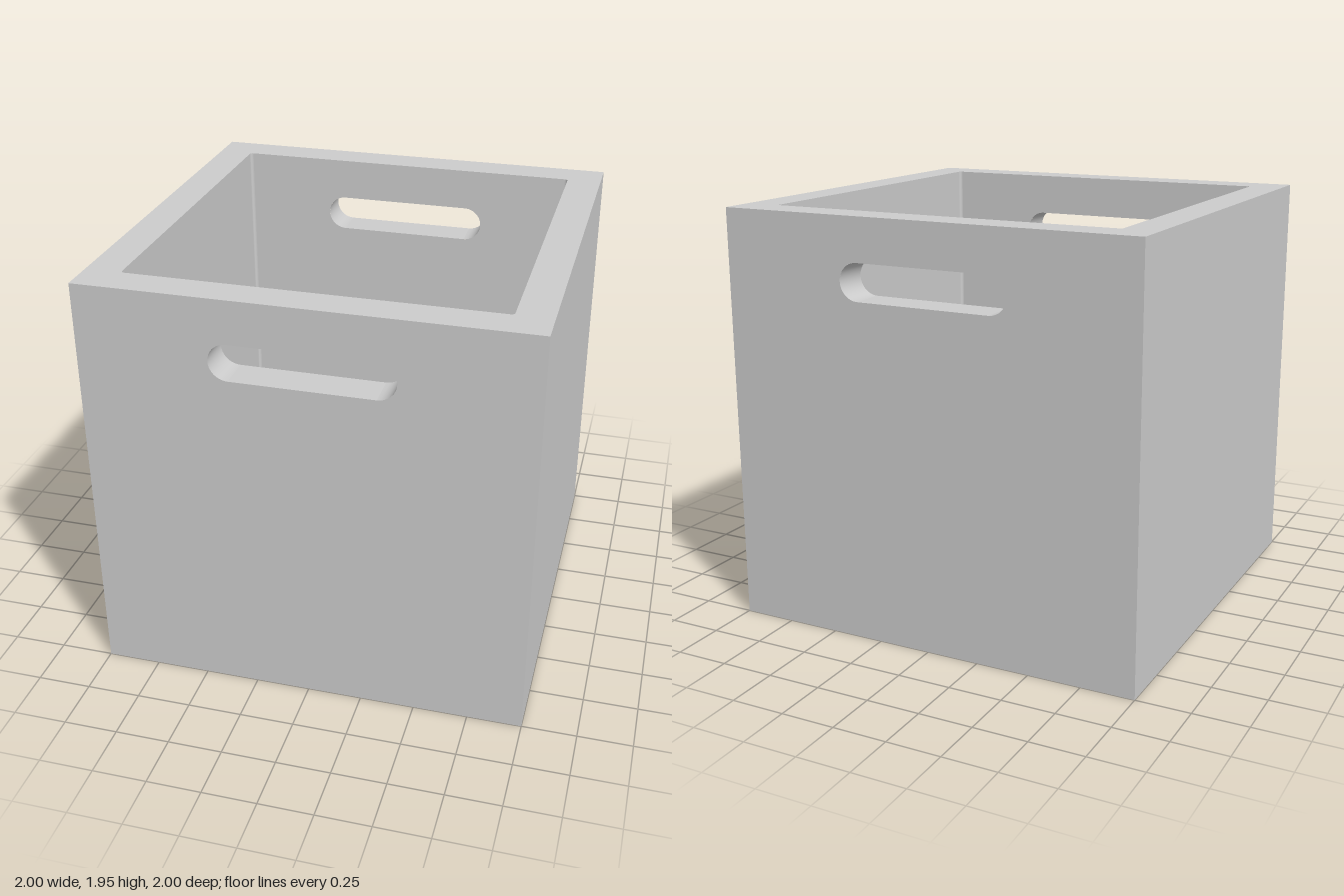
import * as THREE from 'three';

const HALF = 1, HEIGHT = 1.945, INNER = 0.838, FLOOR = 0.16, FILLET = 0.015;
const WALL = HALF - INNER;
const SLOT = { y: 1.66, r: 0.085, half: 0.32 };
const material = new THREE.MeshStandardMaterial({ color: 0xcccccc });

function add(parent, name, geometry, x = 0, y = 0, z = 0) {
  const mesh = new THREE.Mesh(geometry, material);
  mesh.name = name;
  mesh.position.set(x, y, z);
  parent.add(mesh);
  return mesh;
}

// Part of an upright open cylinder that faces its own axis
function hollowArc(radius, length, angle, segments) {
  const g = new THREE.CylinderGeometry(radius, radius, length, segments, 1, true, 0, angle);
  g.scale(-1, 1, 1);
  g.computeVertexNormals();
  return g;
}

function slotPath() {
  const p = new THREE.Path();
  p.absarc(SLOT.half, SLOT.y, SLOT.r, -Math.PI / 2, Math.PI / 2);
  p.absarc(-SLOT.half, SLOT.y, SLOT.r, Math.PI / 2, Math.PI * 1.5);
  p.closePath();
  return p;
}

// Flat wall face, with or without the handle slot
function wallFace(halfWidth, bottom, slotted) {
  const s = new THREE.Shape([
    new THREE.Vector2(-halfWidth, bottom), new THREE.Vector2(halfWidth, bottom),
    new THREE.Vector2(halfWidth, HEIGHT), new THREE.Vector2(-halfWidth, HEIGHT),
  ]);
  if (slotted) s.holes.push(slotPath());
  return new THREE.ShapeGeometry(s, 16);
}

// Square outline with rounded corners
function roundedSquare(half, r) {
  const s = new THREE.Shape(), c = half - r;
  [[c, c], [-c, c], [-c, -c], [c, -c]].forEach(([x, y], i) =>
    s.absarc(x, y, r, i * Math.PI / 2, (i + 1) * Math.PI / 2));
  s.closePath();
  return s;
}

// Inside surfaces of the handle slot, through the wall thickness
function addSlotLining(wall) {
  const z = (HALF + INNER) / 2;
  for (const side of [-1, 1]) {
    const end = hollowArc(SLOT.r, WALL, Math.PI, 16).rotateX(Math.PI / 2);
    if (side > 0) end.rotateZ(Math.PI);
    add(wall, 'handleSlotEnd', end, side * SLOT.half, SLOT.y, z);
    const edge = new THREE.PlaneGeometry(2 * SLOT.half, WALL).rotateX(side * Math.PI / 2);
    add(wall, 'handleSlotEdge', edge, 0, SLOT.y + side * SLOT.r, z);
  }
}

export function createModel() {
  const box = new THREE.Group();
  box.name = 'storageBox';

  // Four walls; front and back carry a handle slot
  ['frontWall', 'leftWall', 'backWall', 'rightWall'].forEach((name, i) => {
    const wall = new THREE.Group();
    const slotted = i % 2 === 0;
    wall.name = name;
    wall.rotation.y = i * Math.PI / 2;
    add(wall, 'outerFace', wallFace(HALF, 0, slotted), 0, 0, HALF);
    add(wall, 'innerFace', wallFace(INNER - FILLET, FLOOR, slotted).rotateY(Math.PI), 0, 0, INNER);
    add(wall, 'innerCorner', hollowArc(FILLET, HEIGHT - FLOOR, Math.PI / 2, 6),
      FILLET - INNER, (HEIGHT + FLOOR) / 2, INNER - FILLET);
    if (slotted) addSlotLining(wall);
    box.add(wall);
  });

  // Top rim around the opening
  const rim = new THREE.Shape([[-1, -1], [1, -1], [1, 1], [-1, 1]]
    .map(([x, y]) => new THREE.Vector2(x * HALF, y * HALF)));
  rim.holes.push(roundedSquare(INNER, FILLET));
  add(box, 'rim', new THREE.ShapeGeometry(rim, 6).rotateX(-Math.PI / 2), 0, HEIGHT);

  // Inside floor and underside
  add(box, 'floor', new THREE.ShapeGeometry(roundedSquare(INNER, FILLET), 6).rotateX(-Math.PI / 2), 0, FLOOR);
  add(box, 'underside', new THREE.PlaneGeometry(2 * HALF, 2 * HALF).rotateX(Math.PI / 2));

  return box;
}
